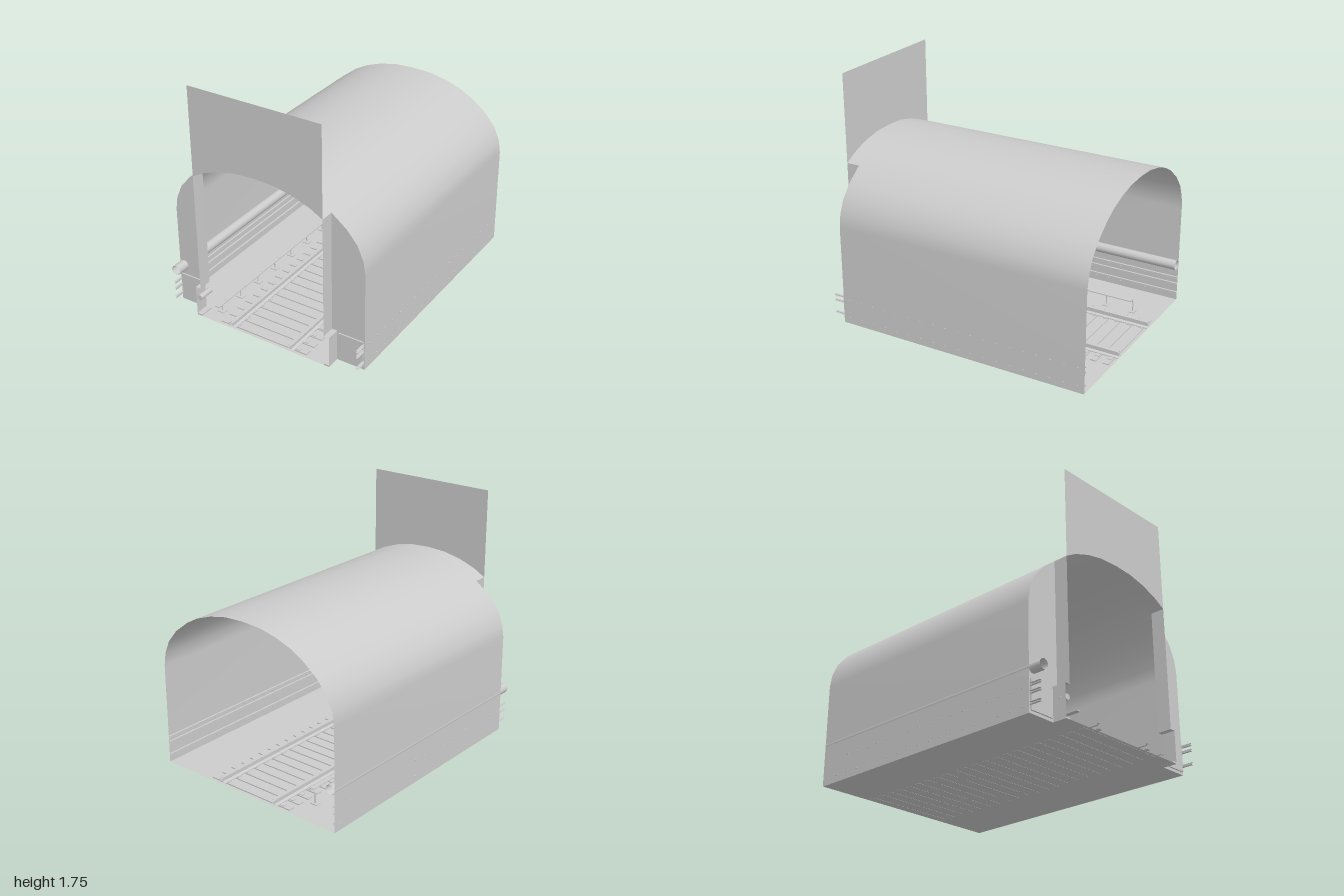
import * as THREE from 'three';

const mat = new THREE.MeshStandardMaterial({ color: 0xcccccc, side: THREE.DoubleSide });

// Vault half-profile from crown to springing
const ARCH = [[0, 1.238], [0.15, 1.23], [0.285, 1.202], [0.41, 1.157], [0.5, 1.107],
  [0.613, 1.02], [0.69, 0.928], [0.733, 0.83], [0.748, 0.735]];
const CROWN = ARCH.slice(0, 5);
const mirrorArch = (half) => [...half.slice(1).reverse().map(([x, y]) => [-x, y]), ...half];

export function createModel() {
  const root = new THREE.Group();

  function add(name, geo, x = 0, y = 0, z = 0, parent = root) {
    const m = new THREE.Mesh(geo, mat);
    m.name = name;
    m.position.set(x, y, z);
    parent.add(m);
    return m;
  }
  const box = (name, w, h, d, x, y, z, parent) =>
    add(name, new THREE.BoxGeometry(w, h, d), x, y, z, parent);

  // Open profile swept along z; flat keeps its corners sharp
  function ribbon(name, pts, z0, z1, flat, parent) {
    const pos = [], idx = [];
    pts.forEach(([x, y], i) => {
      pos.push(x, y, z0, x, y, z1);
      const a = i * 2;
      if (i) idx.push(a - 2, a - 1, a, a, a - 1, a + 1);
    });
    let g = new THREE.BufferGeometry();
    g.setAttribute('position', new THREE.Float32BufferAttribute(pos, 3));
    g.setIndex(idx);
    if (flat) g = g.toNonIndexed();
    g.computeVertexNormals();
    return add(name, g, 0, 0, 0, parent);
  }

  function flatShape(pts) {
    return new THREE.ShapeGeometry(new THREE.Shape(pts.map(([x, y]) => new THREE.Vector2(x, y))));
  }

  function pipe(name, r, x, y, z0, z1, open) {
    const g = new THREE.CylinderGeometry(r, r, z1 - z0, 16, 1, open);
    g.rotateX(Math.PI / 2);
    add(name, g, x, y, (z0 + z1) / 2);
  }

  // Tunnel lining: full vault, then the crown reaching the portal
  ribbon('vault', [[-0.75, 0], ...mirrorArch(ARCH), [0.75, 0]], -1, 0.9);
  ribbon('portalCrown', mirrorArch(CROWN), 0.9, 1);

  // Floor with a narrower apron at the portal
  const floor = flatShape([[-0.75, 1], [-0.75, -0.9], [-0.54, -0.9], [-0.54, -1],
    [0.54, -1], [0.54, -0.9], [0.75, -0.9], [0.75, 1]]);
  floor.rotateX(-Math.PI / 2);
  add('floor', floor, 0, 0.002, 0);

  // Headwall above the crown
  add('headwall', flatShape([[-0.5, 1.755], ...mirrorArch(CROWN), [0.5, 1.755]]), 0, 0, 1);

  for (const s of [-1, 1]) {
    const portal = new THREE.Group();
    portal.name = s > 0 ? 'leftPortalSide' : 'rightPortalSide';
    root.add(portal);
    // Wing wall, stepped return wall, curb and cover plate
    add('wingWall', flatShape([[0.54, 0], [0.75, 0], ...ARCH.slice(4).reverse(), [0.5, 0.23],
      [0.54, 0.23]].map(([x, y]) => [s * x, y])), 0, 0, 0.9, portal);
    ribbon('returnWall', [[s * 0.5, 1.107], [s * 0.5, 0.23], [s * 0.54, 0.23], [s * 0.54, 0]],
      0.9, 1, true, portal);
    box('curb', 0.04, 0.012, 0.1, s * 0.52, 0.007, 0.95, portal);
    box('coverPlate', 0.185, 0.2, 0.01, s * 0.648, 0.12, 0.905, portal);

    // Wall cables, open channels on small brackets
    const heights = s > 0 ? [0.195, 0.155, 0.06] : [0.18, 0.13, 0.06];
    for (const y of heights) {
      ribbon('wallCable', [[s * 0.749, y + 0.008], [s * 0.735, y + 0.008],
        [s * 0.735, y - 0.008], [s * 0.749, y - 0.008]], -1, 0.985, true);
    }
    const brackets = new THREE.Group();
    brackets.name = 'cableBrackets';
    root.add(brackets);
    for (let z = -0.95; z < 0.9; z += 0.1) {
      for (const y of [heights[0], heights[2]]) {
        box('cableBracket', 0.022, 0.006, 0.012, s * 0.743, y - 0.011, z, brackets);
      }
    }

    // Running rail: foot, web and head
    const rail = [[0.025, 0.012], [0.025, 0.018], [0.005, 0.024], [0.005, 0.04], [0.013, 0.044], [0.013, 0.056]];
    const outline = [...rail, ...rail.slice().reverse().map(([x, y]) => [-x, y])];
    ribbon('rail', outline.map(([x, y]) => [s * 0.237 + x, y]), -1, 1, true);
  }

  // Sleepers with rail plates
  const sleepers = new THREE.Group();
  sleepers.name = 'sleepers';
  root.add(sleepers);
  for (let i = 0; i < 22; i++) {
    const z = -0.955 + i * 0.091;
    box('sleeper', 0.7, 0.009, 0.045, 0, 0.0055, z, sleepers);
    for (const s of [-1, 1]) box('railPlate', 0.09, 0.005, 0.03, s * 0.25, 0.0125, z, sleepers);
  }

  // Conductor cover carried on hooked posts
  const hook = new THREE.CatmullRomCurve3([[-0.417, 0.004], [-0.417, 0.07], [-0.408, 0.094],
    [-0.392, 0.103], [-0.37, 0.104]].map(([x, y]) => new THREE.Vector3(x, y, 0)));
  const hookGeo = new THREE.TubeGeometry(hook, 16, 0.004, 6);
  const conductor = new THREE.Group();
  conductor.name = 'conductorRail';
  root.add(conductor);
  for (let i = 0; i < 9; i++) {
    const z = -0.8 + i * 0.21;
    add('hookPost', hookGeo, 0, 0, z, conductor);
    box('postBase', 0.055, 0.006, 0.04, -0.417, 0.005, z, conductor);
  }
  box('conductorCover', 0.035, 0.007, 1.77, -0.388, 0.102, 0.085, conductor);

  // Main pipe along the wall and signal lamp at the portal
  pipe('mainPipe', 0.036, -0.715, 0.295, -1, 0.99, true);
  pipe('portalLamp', 0.02, -0.517, 0.145, 0.88, 0.995, false);
  box('lampArm', 0.025, 0.012, 0.02, -0.531, 0.145, 0.95);

  return root;
}
